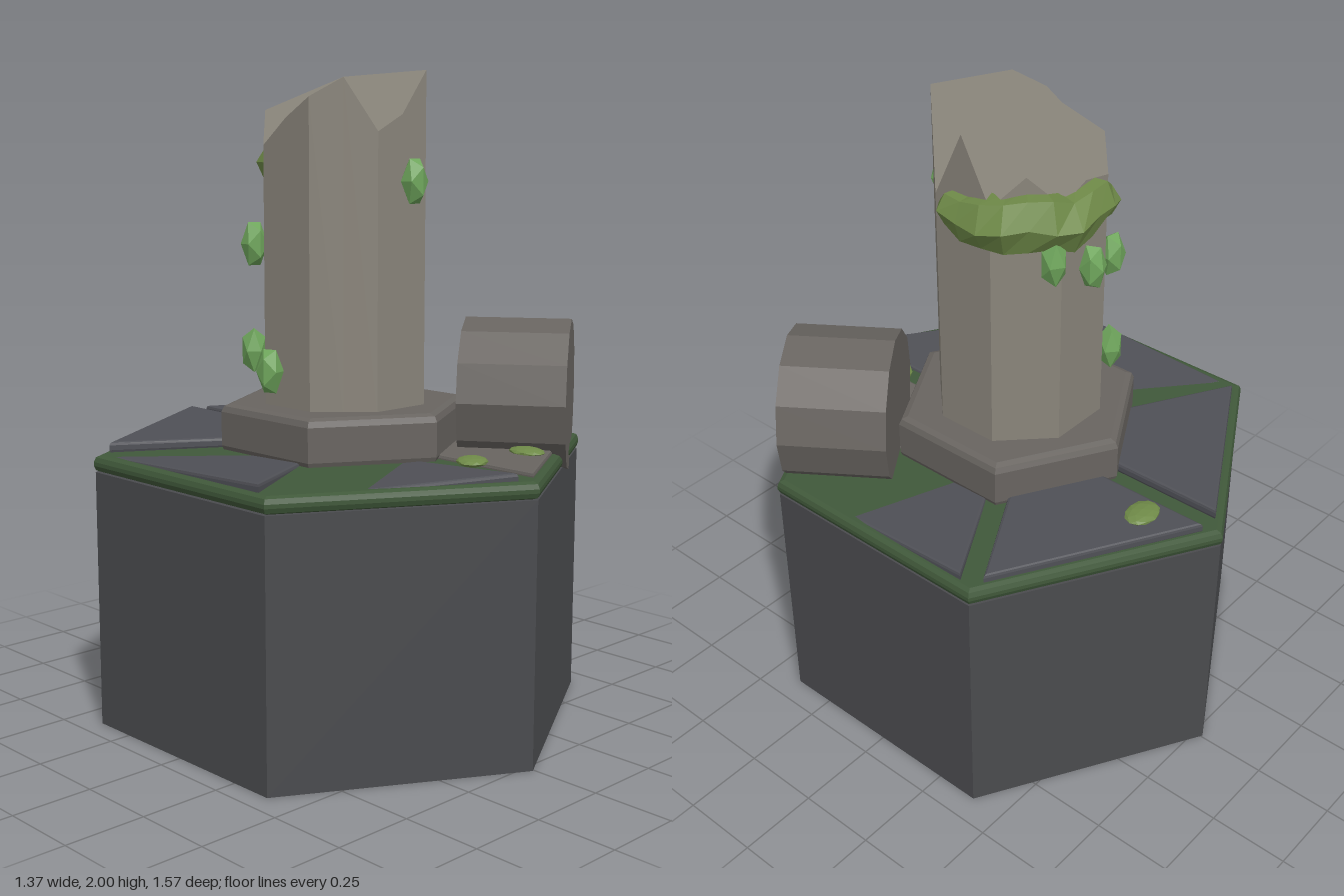
import * as THREE from 'three';

const mat = (color, side = THREE.FrontSide) =>
  new THREE.MeshStandardMaterial({ color, side, flatShading: true, roughness: 0.9 });
const MATS = {
  rock: mat(0x4a4b4e), grass: mat(0x40583a), slate: mat(0x4f5056), stone: mat(0x686460),
  column: mat(0x8a857b), moss: mat(0x6f8a48), bud: mat(0x6fa65c),
};
const rad = THREE.MathUtils.degToRad;

export function createModel() {
  const model = new THREE.Group();
  const body = new THREE.Group();
  body.name = 'ruin';
  body.position.x = -0.006;
  model.add(body);

  const add = (name, geometry, material, parent = body) => {
    const mesh = new THREE.Mesh(geometry, material);
    mesh.name = name;
    parent.add(mesh);
    return mesh;
  };

  // Bevelled slab from a plan outline of [x, z] points, between two heights
  const slab = (points, y0, y1, bevel) => {
    const shape = new THREE.Shape(points.map(([x, z]) => new THREE.Vector2(x, -z)));
    const g = new THREE.ExtrudeGeometry(shape, {
      depth: y1 - y0 - 2 * bevel, bevelEnabled: true, bevelThickness: bevel,
      bevelSize: bevel, bevelOffset: -bevel, bevelSegments: 2,
    });
    return g.rotateX(-Math.PI / 2).translate(0, y0 + bevel, 0);
  };
  const hexagon = (r) => Array.from({ length: 6 }, (_, i) => {
    const a = -i * Math.PI / 3;
    return [r * Math.sin(a), r * Math.cos(a)];
  });

  // Rock base, turf layer and plinth
  add('rockBase', new THREE.CylinderGeometry(0.78, 0.78, 0.8, 6).translate(0, 0.4, 0), MATS.rock);
  add('turfLayer', slab(hexagon(0.785), 0.8, 0.852, 0.02), MATS.grass);
  add('plinth', slab(hexagon(0.392), 0.84, 0.995, 0.025), MATS.stone);

  // Six paving slabs, each with its own tilt, some sunk into the turf
  const paving = [
    { az: 30, top: () => 0.866, material: MATS.stone },
    { az: 90, top: (x, z) => 0.854 - 0.055 * z + 0.02 * (x - 0.5) },
    { az: 150, top: (x, z) => 0.872 - 0.01 * z },
    { az: 210, top: (x, z) => 0.88 - 0.01 * z },
    { az: 270, top: (x, z) => 0.853 - 0.033 * (x + 0.66) + 0.038 * (z + 0.32) },
    { az: 330, top: (x, z) => 0.853 + 0.03 * (x + 0.3) + 0.055 * (z - 0.47) },
  ];
  const half = (v) => v * Math.tan(Math.PI / 6) - 0.038;
  for (const { az, top, material = MATS.slate } of paving) {
    const [v0, v1] = [0.3, 0.652];
    const g = slab([[-half(v0), v0], [-half(v1), v1], [half(v1), v1], [half(v0), v0]], -0.035, 0, 0.01);
    g.rotateY(rad(az));
    const p = g.attributes.position;
    for (let i = 0; i < p.count; i++) p.setY(i, p.getY(i) + top(p.getX(i), p.getZ(i)));
    add('pavingSlab', g, material);
  }

  // Broken column: eight-sided shaft, rim broken at corners and face middles
  const column = new THREE.Group();
  column.name = 'brokenColumn';
  body.add(column);
  const heights = [1.97, 1.76, 1.88, 2, 1.87, 1.82, 1.975, 1.92, 1.86, 1.78, 1.885, 1.8, 1.82, 1.78, 1.87, 1.78];
  const apothem = 0.243;
  const rim = heights.map((y, i) => {
    const a = i * Math.PI / 8, r = i % 2 ? apothem / Math.cos(Math.PI / 8) : apothem;
    return [r * Math.cos(a), y, r * Math.sin(a)];
  });
  const wall = [], cap = [];
  const apex = 6;
  for (let i = 0; i < 16; i++) {
    const a = rim[i], b = rim[(i + 1) % 16];
    const a0 = [a[0], 0.98, a[2]], b0 = [b[0], 0.98, b[2]];
    wall.push(...a0, ...a, ...b, ...a0, ...b, ...b0);
    if (i !== apex && (i + 1) % 16 !== apex) cap.push(...rim[apex], ...b, ...a);
  }
  const triangles = (list) => {
    const g = new THREE.BufferGeometry();
    g.setAttribute('position', new THREE.Float32BufferAttribute(list, 3));
    g.computeVertexNormals();
    return g;
  };
  add('columnShaft', triangles(wall), mat(0x8a857b, THREE.DoubleSide), column);
  // The broken top is shaded as one face
  const capGeometry = triangles(cap);
  const n = capGeometry.attributes.normal;
  for (let i = 0; i < n.count; i++) n.setXYZ(i, 0, 1, 0);
  const capMaterial = mat(0x8a857b, THREE.DoubleSide);
  capMaterial.flatShading = false;
  add('columnBrokenTop', capGeometry, capMaterial, column);

  // Fallen drum of the column, lying on its side
  const drum = add('fallenDrum', new THREE.CylinderGeometry(0.238, 0.238, 0.33, 12).rotateX(Math.PI / 2), MATS.stone);
  drum.position.set(0.402, 1.01, 0.362);
  drum.rotation.y = rad(35);

  // Moss collar: lumpy partial ring, tapered at both ends
  const arc = rad(148), start = rad(-22), R = 0.252;
  const moss = new THREE.TorusGeometry(R, 0.078, 6, 11, arc);
  const mp = moss.attributes.position;
  for (let i = 0; i < mp.count; i++) {
    const x = mp.getX(i), y = mp.getY(i), z = mp.getZ(i);
    const t = Math.atan2(y, x), f = THREE.MathUtils.clamp(t / arc, 0, 1);
    const s = Math.max(0.02, Math.pow(Math.sin(Math.PI * f), 0.4)) * (1 + 0.13 * Math.sin(9 * t + 23 * z));
    const r = R + (Math.hypot(x, y) - R) * s;
    mp.setXYZ(i, r * Math.cos(t), r * Math.sin(t), z * s * 1.15 + 0.012 * Math.sin(7 * t));
  }
  moss.rotateZ(start).rotateX(-Math.PI / 2).translate(0, 1.735, 0);
  add('mossCollar', moss, MATS.moss);

  // Leaf buds on the column
  const buds = [
    [0.025, 1.675, 0.27], [0.14, 1.62, -0.245], [-0.01, 1.55, -0.268],
    [-0.205, 1.48, -0.19], [-0.21, 1.15, -0.19], [-0.272, 1.105, -0.045],
  ];
  buds.forEach((p, i) => {
    const bud = add('leafBud', new THREE.IcosahedronGeometry(0.042, 0), MATS.bud);
    bud.scale.y = 1.85;
    bud.rotation.y = i;
    bud.position.set(...p);
  });

  // Moss tufts on the paving
  [[0.11, 0.882, -0.57], [0.025, 0.868, 0.51], [0.25, 0.868, 0.53]].forEach((p, i) => {
    const tuft = add('mossTuft', new THREE.IcosahedronGeometry(0.06, 1), MATS.moss);
    tuft.scale.set(1.05, 0.24, 0.8);
    tuft.rotation.y = i * 0.7;
    tuft.position.set(...p);
  });

  return model;
}
